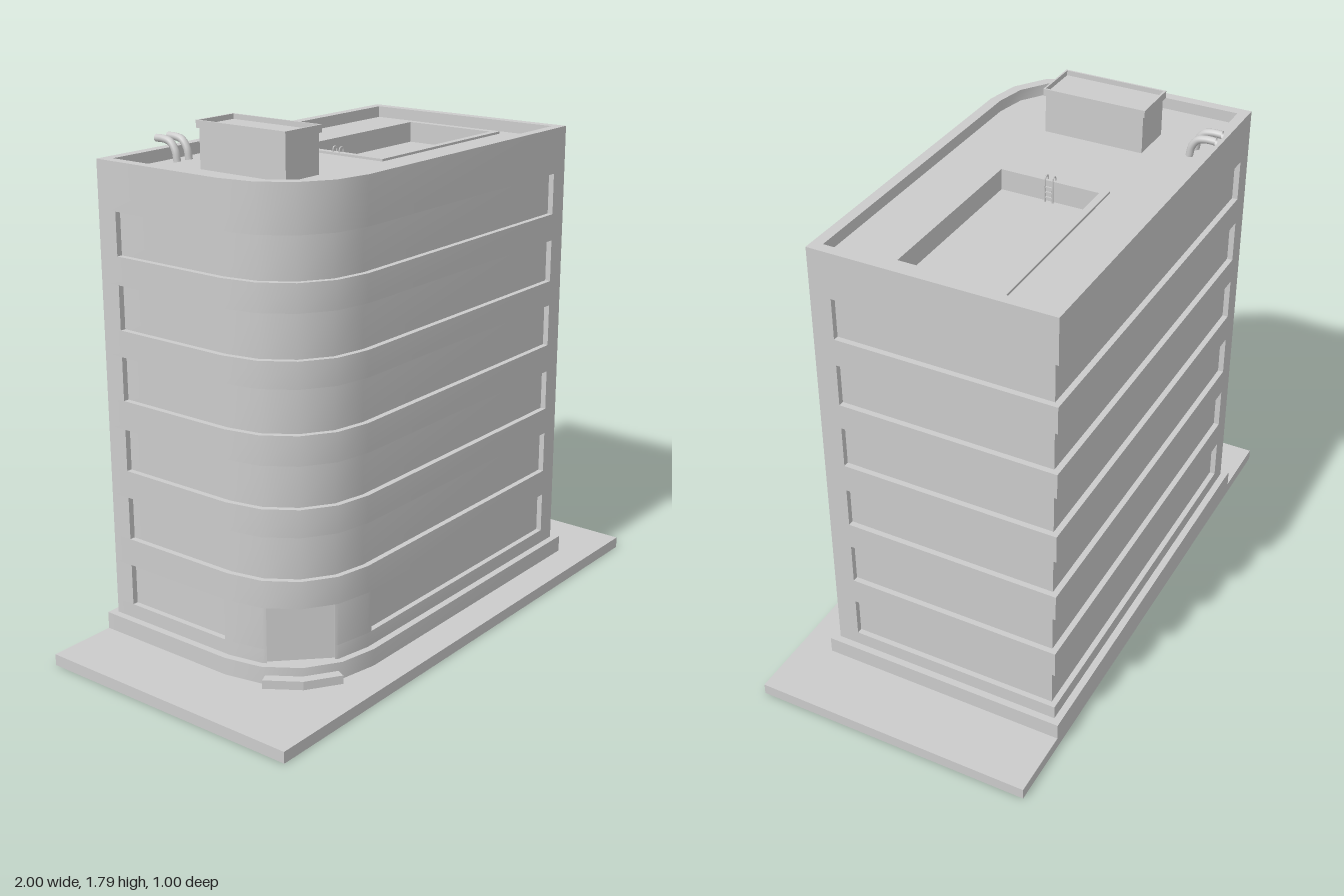
import * as THREE from 'three';
import { toCreasedNormals } from 'three/addons/utils/BufferGeometryUtils.js';

const X = 0.73, BACK = -0.475, FRONT = 0.36, R = 0.32;   // footprint and corner radius
const TOP = 1.67, ROOF = 1.63, GROUND = 0.1, SLAB = 0.04;
const RECESS = 0.02;

export function createModel() {
  const model = new THREE.Group();
  const mat = new THREE.MeshStandardMaterial({ color: 0xcccccc, side: THREE.DoubleSide });

  function add(name, geo, parent = model) {
    const mesh = new THREE.Mesh(geo, mat);
    mesh.name = name;
    parent.add(mesh);
    return mesh;
  }

  // Skin through rings, each ring being [plan points, height]
  function loft(name, rings, parent) {
    const pos = [];
    for (let r = 0; r < rings.length - 1; r++) {
      const [P, y0] = rings[r], [Q, y1] = rings[r + 1];
      for (let i = 0; i < P.length - 1; i++) {
        const a = [P[i][0], y0, P[i][1]], b = [P[i + 1][0], y0, P[i + 1][1]];
        const c = [Q[i + 1][0], y1, Q[i + 1][1]], d = [Q[i][0], y1, Q[i][1]];
        pos.push(...a, ...b, ...c, ...a, ...c, ...d);
      }
    }
    const geo = new THREE.BufferGeometry();
    geo.setAttribute('position', new THREE.Float32BufferAttribute(pos, 3));
    return add(name, toCreasedNormals(geo, 0.5), parent);
  }

  // Faceted corner from facet t0 to t1 (0 to 4), offset inward by d
  function arc(d, t0 = 0, t1 = 4) {
    const corner = (k) => {
      const a = k * Math.PI / 8;
      return [-X + R - (R - d) * Math.cos(a), FRONT - R + (R - d) * Math.sin(a)];
    };
    const at = (t) => {
      const k = Math.min(Math.floor(t), 3), f = t - k, p = corner(k), q = corner(k + 1);
      return [p[0] + (q[0] - p[0]) * f, p[1] + (q[1] - p[1]) * f];
    };
    const pts = [at(t0)];
    for (let k = Math.floor(t0) + 1; k < t1; k++) pts.push(corner(k));
    pts.push(at(t1));
    return pts;
  }

  const outline = (d) => [[X - d, FRONT - d], [X - d, BACK + d], [-X + d, BACK + d],
    ...arc(d), [X - d, FRONT - d]];

  // Flat horizontal shape from plan points
  const plan = (pts) => new THREE.Shape(pts.map(([x, z]) => new THREE.Vector2(x, -z)));
  const prism = (name, pts, y, height, holes = []) => {
    const shape = plan(pts);
    holes.forEach((h) => shape.holes.push(plan(h)));
    const geo = new THREE.ExtrudeGeometry(shape, { depth: height, bevelEnabled: false });
    return add(name, geo.rotateX(-Math.PI / 2).translate(0, y, 0));
  };
  const rect = (x0, x1, z0, z1) => [[x0, z0], [x1, z0], [x1, z1], [x0, z1]];

  // Recessed panel with sill, head and two jambs
  function niche(name, A, B, y0, y1) {
    const g = new THREE.Group();
    g.name = name;
    model.add(g);
    loft('recess', [[A, y0], [B, y0], [B, y1], [A, y1]], g);
    const n = A.length - 1;
    loft('jamb', [[[B[0], A[0]], y0], [[B[0], A[0]], y1]], g);
    loft('jamb', [[[A[n], B[n]], y0], [[A[n], B[n]], y1]], g);
  }

  // Ground slab, open under the building
  const foot = outline(-0.025);
  prism('groundSlab', [...foot.slice(2, -1), foot[0], [foot[1][0], -0.5],
    [1, -0.5], [1, 0.5], [-1, 0.5], [-1, -0.5]], 0, SLAB);

  // Plinth and entrance step
  loft('plinth', [[foot, 0], [foot, GROUND], [outline(0), GROUND]]);
  const D0 = 1.1, D1 = 2.9;
  prism('entranceStep', [...arc(-0.06, D0, D1), ...arc(0, D0, D1).reverse()], SLAB, 0.03);

  // Window levels, with wall bands between them
  const levels = [[0.15, 0.295], [0.39, 0.54], [0.635, 0.78], [0.88, 1.03], [1.12, 1.27], [1.365, 1.51]];
  const wall = (name, pts, y0, y1) => loft(name, [[pts, y0], [pts, y1]]);
  const backBand = (d) => [[X - d, 0.285], [X - d, BACK + d], [-0.66, BACK + d]];
  const frontBand = (d) => [[-X + d, -0.4], ...arc(d), [0.66, FRONT - d]];
  const sideWindow = (d) => [[-X + d, -0.4], [-X + d, 0.02]];
  const frontWindow = (d) => [[-0.39, FRONT - d], [0.66, FRONT - d]];

  levels.forEach(([y0, y1], i) => {
    niche('backWindowBand', backBand(0), backBand(RECESS), y0, y1);
    wall('backPier', [[-0.66, BACK], [-X, BACK], [-X, -0.4]], y0, y1);
    wall('frontPier', [[0.66, FRONT], [X, FRONT], [X, 0.285]], y0, y1);
    if (i === 0) {
      niche('sideWindow', sideWindow(0), sideWindow(RECESS), y0, y1);
      niche('frontWindow', frontWindow(0), frontWindow(RECESS), y0, y1);
      wall('doorPier', [[-X, 0.02], ...arc(0, 0, D0)], y0, y1);
      wall('doorPier', [...arc(0, D1, 4), [-0.39, FRONT]], y0, y1);
    } else {
      niche('frontWindowBand', frontBand(0), frontBand(RECESS), y0, y1);
    }
    wall('wallBand', outline(0), y1, i < 5 ? levels[i + 1][0] : TOP);
  });

  // Wall foot on both sides of the door, and the flat recessed door
  wall('wallFoot', [...arc(0, D1, 4), [X, FRONT], [X, BACK], [-X, BACK], ...arc(0, 0, D0)], GROUND, 0.15);
  const doorway = arc(0, D0, D1), [p, , q] = doorway, in_ = 0.008;
  const panel = [p, [(p[0] + q[0]) / 2, (p[1] + q[1]) / 2], q].map(([x, z]) => [x + in_, z - in_]);
  niche('cornerDoor', doorway, panel, GROUND, 0.295);

  // Parapet and roof with a sunken basin
  loft('parapet', [[outline(0), TOP], [outline(0.037), TOP], [outline(0.037), ROOF]]);
  const pit = rect(-0.02, 0.625, -0.24, 0.11);
  const roof = plan(outline(0.037).slice(0, -1));
  roof.holes.push(plan(pit));
  add('roof', new THREE.ShapeGeometry(roof).rotateX(-Math.PI / 2).translate(0, ROOF, 0));
  const loop = [...pit, pit[0]], depth = 0.065;
  loft('basinWalls', [[loop, ROOF], [loop, ROOF - depth]]);
  add('basinFloor', new THREE.ShapeGeometry(plan(pit)).rotateX(-Math.PI / 2).translate(0, ROOF - depth, 0));
  prism('basinRim', rect(-0.045, 0.65, -0.265, 0.135), ROOF, 0.008, [pit]);

  // Basin ladder
  const ladder = new THREE.Group();
  ladder.name = 'basinLadder';
  model.add(ladder);
  for (const z of [-0.08, -0.053]) {
    const path = new THREE.CatmullRomCurve3([[-0.033, ROOF], [-0.03, ROOF + 0.022],
      [-0.015, ROOF + 0.022], [-0.012, ROOF], [-0.012, ROOF - depth]]
      .map(([x, y]) => new THREE.Vector3(x, y, z)));
    add('rail', new THREE.TubeGeometry(path, 16, 0.003, 6), ladder);
  }
  for (let i = 0; i < 3; i++) {
    add('rung', new THREE.BoxGeometry(0.005, 0.004, 0.027), ladder)
      .position.set(-0.012, ROOF - 0.012 - i * 0.018, -0.0665);
  }

  // Rooftop housing with a lipped, sunken top
  const body = rect(-0.505, -0.345, -0.24, 0.115);
  prism('roofHousing', body, ROOF, 0.14);
  prism('housingLip', rect(-0.512, -0.338, -0.248, 0.121), 1.762, 0.025, [body]);

  // Two bent vent pipes running out over the back parapet
  for (const x of [-0.46, -0.405]) {
    const path = new THREE.CatmullRomCurve3([[ROOF, -0.385], [1.665, -0.392], [1.692, -0.412],
      [1.7, -0.44], [1.7, -0.475]].map(([y, z]) => new THREE.Vector3(x, y, z)));
    add('ventPipe', new THREE.TubeGeometry(path, 20, 0.013, 12));
  }
  return model;
}
